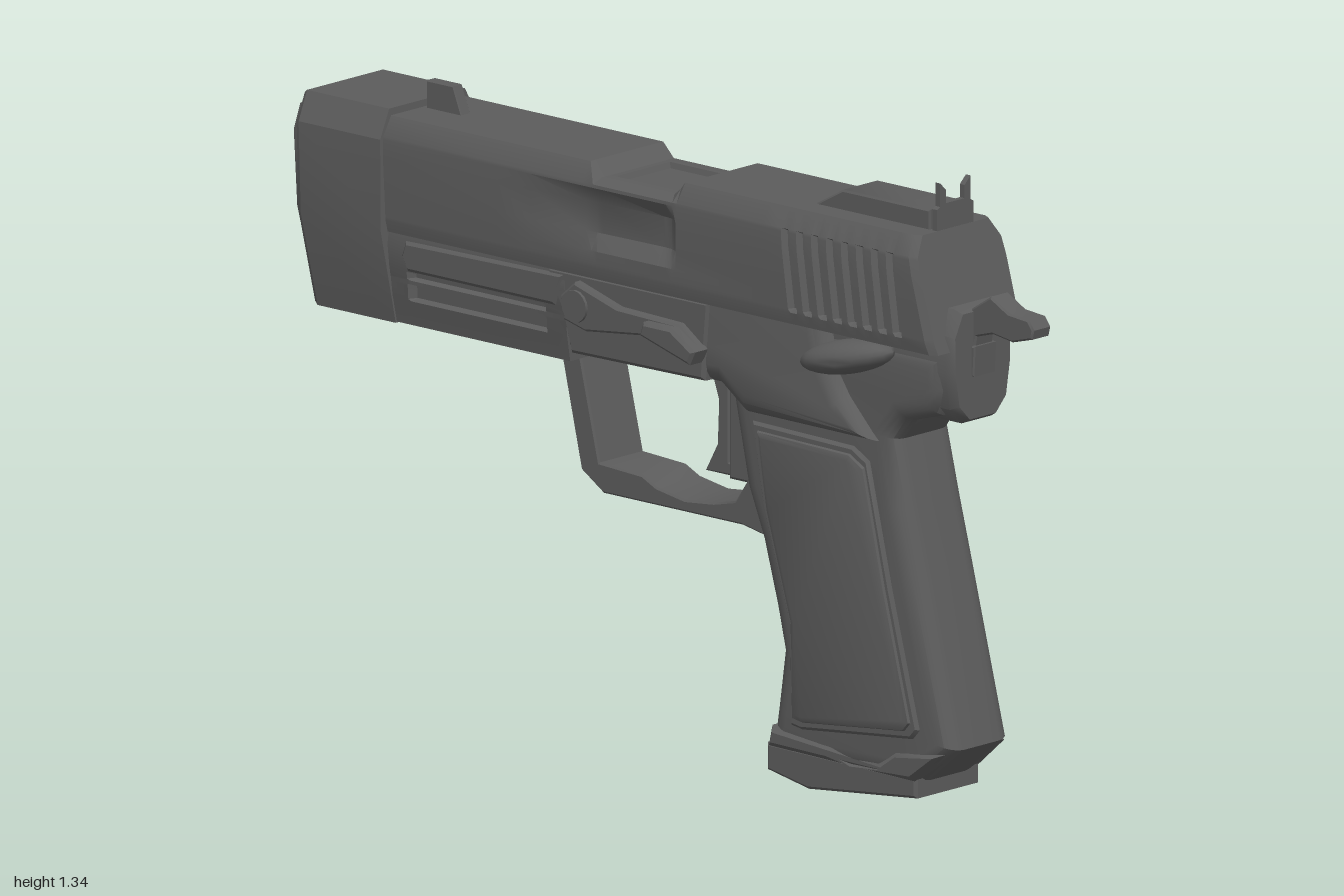
import * as THREE from 'three';
import { toCreasedNormals, mergeVertices } from 'three/addons/utils/BufferGeometryUtils.js';

const material = new THREE.MeshStandardMaterial({ color: 0x5c5c5c });

function part(name, geometry, crease = 0.5) {
  const mesh = new THREE.Mesh(toCreasedNormals(geometry, crease), material);
  mesh.name = name;
  return mesh;
}

// Side outline of [z, y] points, extruded across x to the given half width
function side(name, points, half, bevel = 0.008, x = 0, segments = 1) {
  const shape = new THREE.Shape(points.map(([z, y]) => new THREE.Vector2(z, y)));
  const depth = 2 * (half - bevel);
  const geo = new THREE.ExtrudeGeometry(shape, {
    depth, bevelEnabled: true, bevelSize: bevel, bevelThickness: bevel,
    bevelOffset: -bevel, bevelSegments: segments,
  });
  geo.translate(0, 0, -depth / 2).rotateY(-Math.PI / 2).translate(x, 0, 0);
  return part(name, geo, 0.65);
}

// Mirror a right half section (bottom to top) and lean it by k around y = 1.24
function ring(half, z, k = 0) {
  const left = half.map(([x, y]) => [-x, y]).reverse();
  return [...half, ...left].map(([x, y]) => [x, y, z + k * (1.24 - y)]);
}

// Skin over rings ordered from the rear (+z) to the muzzle, with both ends closed
function loft(name, rings, crease = 0.4) {
  const n = rings[0].length, last = rings.length - 1;
  const verts = rings.flat(), index = [];
  for (let i = 0; i < last; i++) for (let j = 0; j < n; j++) {
    const a = i * n + j, b = i * n + (j + 1) % n;
    index.push(a, a + n, b, b, a + n, b + n);
  }
  for (const r of [0, last]) {
    const mid = [0, 1, 2].map((c) => rings[r].reduce((s, p) => s + p[c], 0) / n);
    const m = verts.push(mid) - 1;
    for (let j = 0; j < n; j++) {
      const a = r * n + j, b = r * n + (j + 1) % n;
      index.push(m, r ? b : a, r ? a : b);
    }
  }
  const geo = new THREE.BufferGeometry();
  geo.setAttribute('position', new THREE.Float32BufferAttribute(verts.flat(), 3));
  geo.setIndex(index);
  return part(name, mergeVertices(geo), crease);
}

// Slide section: groove cuts serrations, scoop hollows the side, port sinks the top
function slideRing(z, { half = 0.14, groove = 0, scoop = 0, top = 1.235, port = 0, k = 0 } = {}) {
  const deep = half - Math.max(groove, scoop);
  return ring([
    [half - 0.005, 0.995], [half, 1.02], [half - groove, 1.027], [half - groove, 1.055],
    [deep, 1.09], [deep, 1.155], [half - 0.003 - groove, 1.188], [half - 0.004, 1.195],
    [half - 0.03, top], [0.082, top], [0.078, top - port],
  ], z, k);
}

function makeSlide() {
  const rings = [slideRing(0.755, { half: 0.13, k: 0.28 }), slideRing(0.738, { k: 0.28 })];
  for (let i = 0; i < 8; i++) {
    const z = 0.705 - i * 0.042, k = 0.14, groove = 0.015;
    rings.push(slideRing(z, { k }), slideRing(z - 0.005, { k, groove }),
      slideRing(z - 0.02, { k, groove }), slideRing(z - 0.025, { k }));
  }
  const top = 1.205;
  rings.push(
    slideRing(0.34), slideRing(0.1),
    slideRing(0.088, { scoop: 0.014, top: 1.22 }),
    slideRing(0.07, { scoop: 0.022, top }),
    slideRing(0.05, { scoop: 0.024, top }),
    slideRing(0.045, { scoop: 0.024, top, port: 0.012 }),
    slideRing(-0.115, { scoop: 0.02, top, port: 0.012 }),
    slideRing(-0.12, { scoop: 0.02, top }),
    slideRing(-0.135, { scoop: 0.019, top }),
    slideRing(-0.165, { scoop: 0.017 }),
    slideRing(-0.31, { scoop: 0.005 }),
    slideRing(-0.4), slideRing(-0.73));
  return loft('slide', rings, 0.5);
}

// Front of the frame with two long slots in each side
function makeDustCover() {
  const section = (z, d) => ring([
    [0.118, 0.802], [0.127, 0.855], [0.128 - d, 0.859], [0.13 - d, 0.888], [0.131, 0.892],
    [0.131, 0.9], [0.132 - d, 0.903], [0.133 - d, 0.915], [0.134, 0.918], [0.137, 0.97], [0.133, 1.0],
  ], z);
  return loft('dustCover', [[-0.215, 0], [-0.27, 0], [-0.278, 0.02], [-0.652, 0.02],
    [-0.66, 0], [-0.71, 0]].map(([z, d]) => section(z, d)));
}

// Muzzle block with a sunken front plate inside a raised rim
function makeMuzzle() {
  const half = [[0.122, 0.8], [0.156, 1.0], [0.146, 1.19], [0.115, 1.25]];
  const scaled = (s) => half.map(([x, y]) => [x * s, 1.03 + (y - 1.03) * s]);
  return loft('muzzleBlock', [
    ring(half, -0.725, 0.055), ring(half, -0.955, 0.08), ring(scaled(0.97), -0.965, 0.08),
    ring(scaled(0.88), -0.968, 0.08), ring(scaled(0.83), -0.996, 0.11),
    ring(scaled(0.77), -0.996, 0.11), ring(scaled(0.74), -0.985, 0.11),
  ]);
}

export function createModel() {
  const model = new THREE.Group();
  model.name = 'pistol';
  const body = new THREE.Group();
  body.name = 'body';
  body.position.x = 0.013;
  model.add(body);

  body.add(makeSlide(), makeDustCover(), makeMuzzle());
  body.add(side('sideRail', [[-0.215, 0.99], [-0.24, 0.92], [-0.655, 0.92], [-0.672, 0.95], [-0.66, 0.985]], 0.142, 0.008));

  // Barrel mouth with a bore
  const bore = [[0.058, 0], [0.058, 0.06], [0.054, 0.067], [0.042, 0.067], [0.039, 0.06], [0.039, 0.005], [0, 0.005]];
  const barrel = new THREE.LatheGeometry(bore.map(([r, y]) => new THREE.Vector2(r, y)), 24);
  body.add(part('barrel', barrel.rotateX(-Math.PI / 2).translate(0, 1.13, -0.933)));

  // Sights: front post, rear ramp and a notched rear blade
  body.add(side('frontSight', [[-0.615, 1.23], [-0.64, 1.293], [-0.715, 1.293], [-0.715, 1.23]], 0.014, 0.002));
  body.add(side('rearSight', [[0.735, 1.225], [0.735, 1.277], [0.49, 1.277], [0.415, 1.235], [0.415, 1.225]], 0.055, 0.004));
  const horn = [[0.055, 1.23], [0.055, 1.28], [0.046, 1.285], [0.046, 1.335], [0.028, 1.318], [0.028, 1.29]];
  const notched = [...horn, ...horn.map(([x, y]) => [-x, y]).reverse()];
  const blade = new THREE.ExtrudeGeometry(new THREE.Shape(notched.map(([x, y]) => new THREE.Vector2(x, y))),
    { depth: 0.013, bevelEnabled: false });
  body.add(part('rearSightBlade', blade.translate(0, 0, 0.743)));

  // Frame, its raised middle plate and the rounded rear
  body.add(side('frame', [[0.49, 1.04], [0.515, 0.92], [0.555, 0.86], [0.635, 0.775], [0.27, 0.775],
    [0.2, 0.825], [-0.23, 0.825], [-0.23, 1.04]], 0.13, 0.042, 0, 4));
  body.add(side('framePlate', [[0.19, 1.0], [0.175, 0.83], [-0.2, 0.825], [-0.225, 0.91], [-0.265, 0.985], [-0.265, 1.0]],
    0.136, 0.008));
  const rear = [[0.045, 0.835], [0.08, 0.87], [0.094, 0.95], [0.095, 1.03], [0.068, 1.082]];
  const shrunk = rear.map(([x, y]) => [x * 0.88, 0.96 + (y - 0.96) * 0.92]);
  body.add(loft('frameRear', [ring(shrunk, 0.833), ring(rear, 0.815), ring(rear, 0.5)], 0.7));

  // Hammer and its seat
  body.add(side('hammer', [[1.0, 1.06], [0.985, 1.08], [0.93, 1.085], [0.88, 1.112], [0.83, 1.08], [0.79, 1.05],
    [0.79, 0.96], [0.825, 0.945], [0.84, 1.02], [0.885, 1.033], [0.94, 1.025], [0.995, 1.04]], 0.028, 0.004));
  body.add(side('hammerSeat', [[0.838, 0.935], [0.842, 1.0], [0.8, 1.0], [0.8, 0.935]], 0.034, 0.003));

  // Grip, raised side panels, lower band and base plate
  body.add(side('grip', [[0.817, 0.995], [0.817, 0.905], [0.785, 0.85], [0.7, 0.825], [0.667, 0.78], [0.7, 0.645],
    [0.737, 0.505], [0.83, 0.145], [0.73, 0.06], [0.315, 0.06], [0.33, 0.16], [0.347, 0.28],
    [0.326, 0.37], [0.288, 0.505], [0.245, 0.61], [0.2, 0.82], [0.2, 0.995]], 0.1, 0.046, 0, 5));
  const panel = [[0.61, 0.73], [0.565, 0.755], [0.28, 0.76], [0.31, 0.585], [0.384, 0.345], [0.388, 0.13],
    [0.42, 0.125], [0.73, 0.158], [0.75, 0.18], [0.673, 0.467]];
  const inner = panel.map(([z, y]) => [0.515 + (z - 0.515) * 0.92, 0.445 + (y - 0.445) * 0.95]);
  body.add(side('gripPanelRim', panel, 0.107, 0.008));
  body.add(side('gripPanel', inner, 0.117, 0.015, 0, 2));
  body.add(side('gripBand', [[0.805, 0.135], [0.73, 0.068], [0.322, 0.075], [0.332, 0.12], [0.5, 0.105],
    [0.56, 0.085], [0.63, 0.09], [0.68, 0.125]], 0.108, 0.012));
  body.add(side('basePlate', [[0.735, 0.075], [0.735, 0.032], [0.43, 0], [0.315, 0.022], [0.315, 0.08]], 0.097, 0.006));

  // Trigger guard and trigger
  body.add(side('triggerGuard', [[0.3, 0.505], [0.22, 0.52], [-0.17, 0.52], [-0.232, 0.56], [-0.29, 0.81],
    [-0.235, 0.81], [-0.18, 0.583], [-0.06, 0.577], [-0.02, 0.558], [0.06, 0.545], [0.14, 0.553], [0.2, 0.567],
    [0.23, 0.61], [0.25, 0.65]], 0.068, 0.004));
  body.add(side('triggerBack', [[0.28, 0.83], [0.165, 0.83], [0.165, 0.605], [0.25, 0.605]], 0.05, 0.006));
  body.add(side('trigger', [[0.15, 0.84], [0.09, 0.84], [0.117, 0.76], [0.113, 0.665], [0.08, 0.605],
    [0.18, 0.605], [0.18, 0.63], [0.15, 0.635]], 0.03, 0.005));

  // Controls on the right-hand side
  body.add(side('slideStop', [[-0.17, 0.985], [-0.21, 0.95], [-0.2, 0.9], [-0.14, 0.885], [0.03, 0.905], [0.17, 0.87],
    [0.185, 0.9], [0.12, 0.945], [-0.05, 0.95]], 0.014, 0.005, -0.142));
  body.add(side('slideStopThumb', [[0.03, 0.91], [0.17, 0.87], [0.185, 0.9], [0.12, 0.94], [0.04, 0.94]], 0.02, 0.007, -0.158));
  const pin = new THREE.CylinderGeometry(0.034, 0.038, 0.04, 16);
  body.add(part('slideStopPin', pin.rotateZ(Math.PI / 2).translate(-0.142, 0.935, -0.165)));
  const lever = new THREE.SphereGeometry(1, 16, 12).scale(0.055, 0.036, 0.118);
  body.add(part('safetyLever', lever.rotateX(-0.22).rotateY(0.12).translate(-0.125, 0.95, 0.57), 0.9));
  return model;
}
